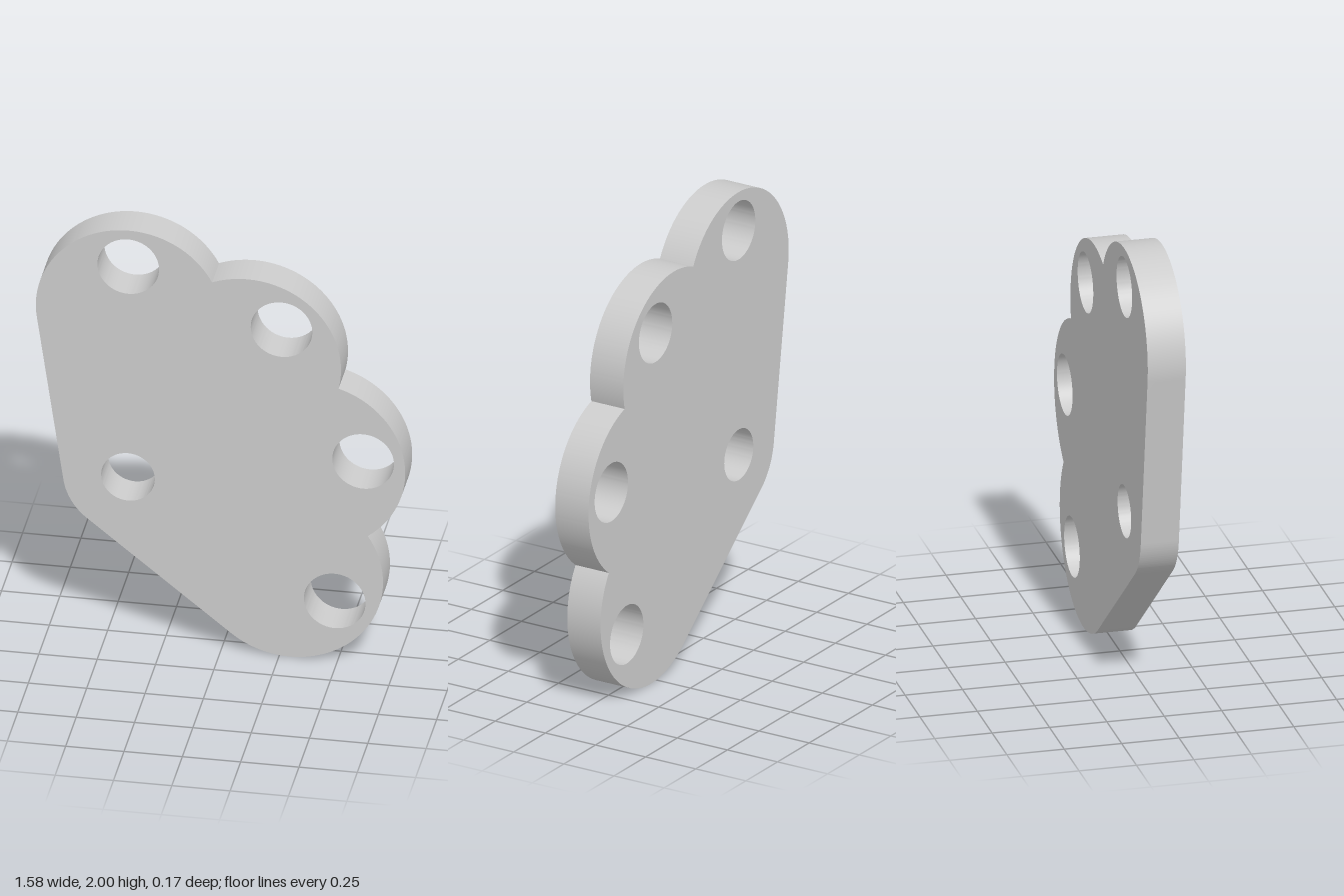
import * as THREE from 'three';
import { toCreasedNormals } from 'three/addons/utils/BufferGeometryUtils.js';

const DEPTH = 0.166;

// Outline circles, clockwise from the top lobe: four lobes, then the small corner
const circles = [
  { x: -0.393, y: 1.6, r: 0.4 },
  { x: 0.115, y: 1.415, r: 0.4 },
  { x: 0.39, y: 0.94, r: 0.4 },
  { x: 0.295, y: 0.4, r: 0.4 },
  { x: -0.398, y: 0.803, r: 0.28 },
];

// Through holes: x, y, radius
const holes = [
  [-0.397, 1.825, 0.132],
  [0.26, 1.585, 0.132],
  [0.61, 0.98, 0.132],
  [0.488, 0.29, 0.132],
  [-0.398, 0.803, 0.115],
];

// Angles at which the outline leaves circle a and enters circle b
function joint(a, b, tangent) {
  const dist = Math.hypot(b.x - a.x, b.y - a.y);
  const dir = Math.atan2(b.y - a.y, b.x - a.x);
  if (tangent) {
    // straight edge touching both circles
    const angle = dir + Math.acos((a.r - b.r) / dist);
    return { leave: angle, enter: angle };
  }
  // notch where two equal lobes cross
  const half = Math.acos(dist / 2 / a.r);
  return { leave: dir + half, enter: dir + Math.PI - half };
}

function plateShape() {
  const n = circles.length;
  const joints = circles.map((c, i) => joint(c, circles[(i + 1) % n], i >= 3));
  const shape = new THREE.Shape();
  circles.forEach((c, i) => {
    shape.absarc(c.x, c.y, c.r, joints[(i + n - 1) % n].enter, joints[i].leave, true);
  });
  shape.closePath();
  for (const [x, y, r] of holes) {
    shape.holes.push(new THREE.Path().absarc(x, y, r, 0, Math.PI * 2, false));
  }
  return shape;
}

export function createModel() {
  const group = new THREE.Group();
  group.name = 'lobedPlate';

  // Flat plate with sharp rims and smooth curved walls
  const extruded = new THREE.ExtrudeGeometry(plateShape(), {
    depth: DEPTH,
    bevelEnabled: false,
    curveSegments: 48,
  });
  extruded.translate(0, 0, -DEPTH / 2);
  const plate = new THREE.Mesh(
    toCreasedNormals(extruded, Math.PI / 6),
    new THREE.MeshStandardMaterial({ color: 0xcccccc })
  );
  plate.name = 'plate';
  group.add(plate);
  return group;
}
